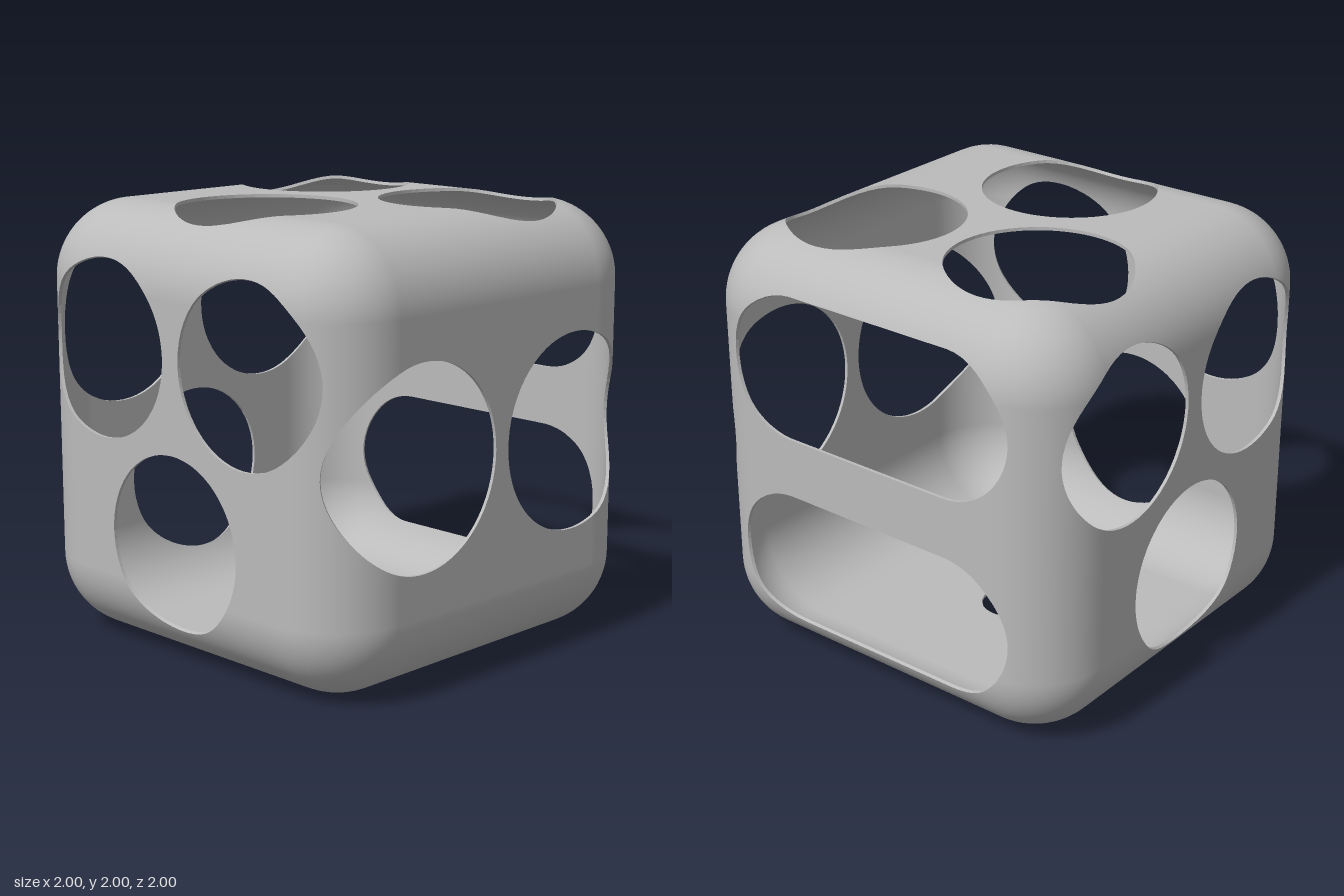
import * as THREE from 'three';

const HALF = 1, RADIUS = 0.36, CORE = HALF - RADIUS, WALL = 0.015;

const V = (x, y, z) => new THREE.Vector3(x, y, z);
const hole = (u, v, r, halfLength = 0) => ({ u, v, r, halfLength });
const trio = [hole(-0.45, 0.38, 0.4), hole(0.45, 0.38, 0.4), hole(0, -0.43, 0.4)];

// Each side of the cube: its across (u) and up (v) directions and the openings cut in it
const SIDES = [
  { name: 'frontWall', u: V(1, 0, 0), v: V(0, 1, 0), holes: trio },
  { name: 'backWall', u: V(-1, 0, 0), v: V(0, 1, 0), holes: [hole(0, 0.47, 0.33, 0.43), hole(0, -0.47, 0.33, 0.43)] },
  { name: 'leftWall', u: V(0, 0, -1), v: V(0, 1, 0), holes: [hole(-0.49, 0, 0.45), hole(0.49, 0, 0.45)] },
  { name: 'rightWall', u: V(0, 0, 1), v: V(0, 1, 0), holes: trio },
  { name: 'topWall', u: V(1, 0, 0), v: V(0, 0, -1), holes: trio },
  { name: 'bottomWall', u: V(1, 0, 0), v: V(0, 0, 1), holes: [hole(0, 0, 0.14)] },
];
for (const side of SIDES) side.n = side.u.clone().cross(side.v);

// Grid lines: even over the flat area, by equal angles round the edges
const LINES = [];
const FLAT = 32, ROUND = 8;
for (let i = -ROUND; i < 0; i++) LINES.push(-CORE + RADIUS * Math.tan((i / ROUND) * Math.PI / 4));
for (let i = 0; i <= FLAT; i++) LINES.push(-CORE + (2 * CORE * i) / FLAT);
for (let i = 1; i <= ROUND; i++) LINES.push(CORE + RADIUS * Math.tan((i / ROUND) * Math.PI / 4));

// Distance to the nearest opening, negative inside one
function distanceToHoles(p) {
  let best = Infinity;
  for (const { u, v, n, holes } of SIDES) {
    const pu = p.dot(u), pv = p.dot(v), behind = -p.dot(n);
    for (const h of holes) {
      const across = Math.max(Math.abs(pu - h.u) - h.halfLength, 0);
      best = Math.min(best, Math.max(Math.hypot(across, pv - h.v) - h.r, behind));
    }
  }
  return best;
}

// Point of the rounded cube with its normal and opening distance
function surfacePoint(side, a, b) {
  const cube = side.n.clone().addScaledVector(side.u, a).addScaledVector(side.v, b);
  const core = cube.clone().clamp(V(-CORE, -CORE, -CORE), V(CORE, CORE, CORE));
  const normal = cube.sub(core).normalize();
  const pos = core.addScaledVector(normal, RADIUS);
  return { pos, normal, d: distanceToHoles(pos) };
}

function mix(a, b) {
  const t = a.d / (a.d - b.d);
  return {
    pos: a.pos.clone().lerp(b.pos, t),
    normal: a.normal.clone().lerp(b.normal, t).normalize(),
    d: 0,
  };
}

const innerPos = (p) => p.pos.clone().addScaledVector(p.normal, -WALL);

function buildWall(side) {
  const positions = [], normals = [];
  const put = (pos, normal) => {
    positions.push(pos.x, pos.y + HALF, pos.z);
    normals.push(normal.x, normal.y, normal.z);
  };

  // Outer and inner skin of one triangle
  const addSkin = (a, b, c) => {
    for (const p of [a, b, c]) put(p.pos, p.normal);
    for (const p of [a, c, b]) put(innerPos(p), p.normal.clone().negate());
  };

  // Wall thickness along a cut edge
  const addRim = (a, b) => {
    const ai = innerPos(a), bi = innerPos(b);
    const n = ai.clone().sub(a.pos).cross(bi.clone().sub(a.pos)).normalize();
    for (const p of [a.pos, ai, bi, a.pos, bi, b.pos]) put(p, n);
  };

  // Keep the part of a triangle outside the openings
  const addClipped = (tri) => {
    const kept = [];
    let leave = null, enter = null;
    tri.forEach((p, i) => {
      const q = tri[(i + 1) % 3];
      if (p.d >= 0) kept.push(p);
      if ((p.d >= 0) !== (q.d >= 0)) {
        // always interpolate from the kept end so neighbours match
        const cut = p.d >= 0 ? mix(p, q) : mix(q, p);
        if (p.d >= 0) leave = cut; else enter = cut;
        kept.push(cut);
      }
    });
    for (let i = 2; i < kept.length; i++) addSkin(kept[0], kept[i - 1], kept[i]);
    if (leave && enter) addRim(leave, enter);
  };

  const grid = LINES.map((b) => LINES.map((a) => surfacePoint(side, a, b)));
  for (let j = 0; j + 1 < LINES.length; j++) {
    for (let i = 0; i + 1 < LINES.length; i++) {
      const a = grid[j][i], b = grid[j][i + 1], c = grid[j + 1][i + 1], d = grid[j + 1][i];
      addClipped([a, b, c]);
      addClipped([a, c, d]);
    }
  }

  const geometry = new THREE.BufferGeometry();
  geometry.setAttribute('position', new THREE.Float32BufferAttribute(positions, 3));
  geometry.setAttribute('normal', new THREE.Float32BufferAttribute(normals, 3));
  return geometry;
}

export function createModel() {
  const model = new THREE.Group();
  model.name = 'hollowRoundedCube';
  const grey = new THREE.MeshStandardMaterial({ color: 0xbbbbbb });
  grey.name = 'grey';
  for (const side of SIDES) {
    const wall = new THREE.Mesh(buildWall(side), grey);
    wall.name = side.name;
    model.add(wall);
  }
  return model;
}
